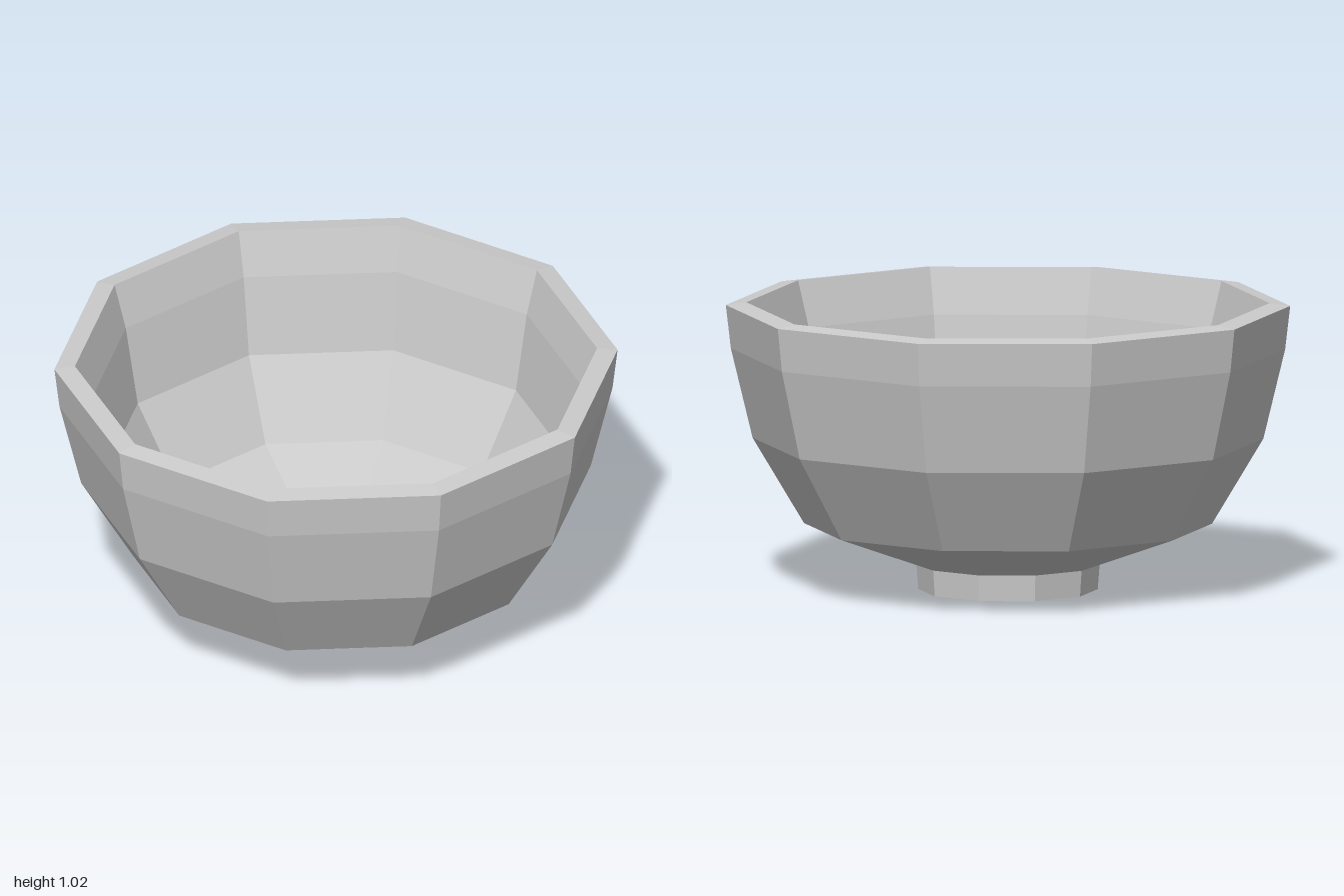
import * as THREE from 'three';

const SIDES = 10;

// Ten-sided turned part, with one corner on the x axis
function turned(name, profile) {
  const points = profile.map(([r, y]) => new THREE.Vector2(r, y));
  const geometry = new THREE.LatheGeometry(points, SIDES, Math.PI / 2);
  const material = new THREE.MeshStandardMaterial({ color: 0xcccccc, flatShading: true });
  const mesh = new THREE.Mesh(geometry, material);
  mesh.name = name;
  return mesh;
}

export function createModel() {
  const model = new THREE.Group();
  model.name = 'bowl';

  // Foot: closed underneath, meets the body at its top
  model.add(turned('foot', [[0, 0], [0.318, 0], [0.325, 0.093]]));

  // Outer wall, from the foot up to the lip
  model.add(turned('outerWall', [
    [0.325, 0.093], [0.723, 0.235], [0.905, 0.54], [0.982, 0.86], [1, 1.015],
  ]));

  // Rim, rising slightly towards the inside
  model.add(turned('rim', [[1, 1.015], [0.927, 1.025]]));

  // Inner wall and floor
  model.add(turned('innerWall', [
    [0.927, 1.025], [0.88, 0.86], [0.83, 0.565], [0.673, 0.285], [0.27, 0.15], [0, 0.15],
  ]));

  return model;
}
